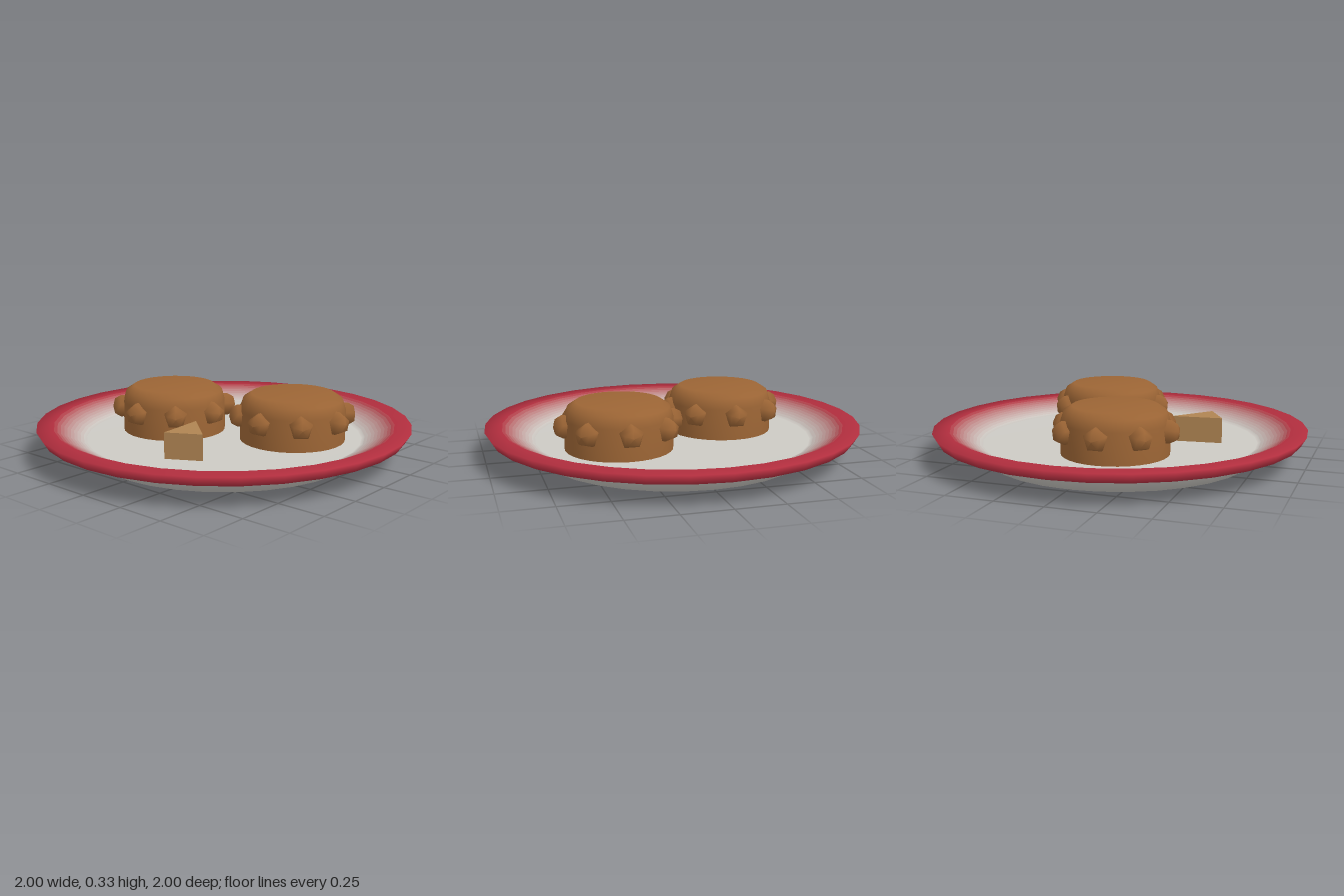
import * as THREE from 'three';

const mat = (color, extra = {}) => new THREE.MeshStandardMaterial({ color, ...extra });

function named(geometry, material, name) {
  const mesh = new THREE.Mesh(geometry, material);
  mesh.name = name;
  return mesh;
}

// Dish turned from one profile; its colour fades from pale centre to red rim in thin rings.
function createPlate() {
  const pale = new THREE.Color(0xcccac4), red = new THREE.Color(0xb12e3e);
  // radius, height, amount of red
  const profile = [
    [0, 0, 0], [0.72, 0, 0], [0.74, 0.055, 0], [0.97, 0.115, 1],
    [1, 0.165, 1], [0.91, 0.165, 1], [0.74, 0.085, 0], [0, 0.085, 0],
  ];
  const points = [], tints = [];
  for (let i = 0; i < profile.length - 1; i++) {
    const [r0, y0, t0] = profile[i], [r1, y1, t1] = profile[i + 1];
    const steps = t0 === t1 ? 1 : 10;
    for (let k = 0; k < steps; k++) {
      const f = k / steps;
      points.push(new THREE.Vector2(r0 + (r1 - r0) * f, y0 + (y1 - y0) * f));
      tints.push(t0 + (t1 - t0) * (k + 0.5) / steps);
    }
  }
  points.push(new THREE.Vector2(0, 0.085));

  const sides = 32;
  const whole = new THREE.LatheGeometry(points, sides);
  const index = whole.index.array;
  const rings = points.length - 1;
  const plate = new THREE.Group();
  plate.name = 'plate';
  // Each ring reuses the shared smooth normals, with its own tint
  for (let j = 0; j < rings; j++) {
    const picked = [];
    for (let s = 0; s < sides; s++) {
      const start = (s * rings + j) * 6;
      picked.push(...index.slice(start, start + 6));
    }
    const ring = whole.clone();
    ring.setIndex(picked);
    plate.add(named(ring.toNonIndexed(), mat(pale.clone().lerp(red, tints[j])), 'plateRing'));
  }
  return plate;
}

// Round biscuit with a softened top edge and eight five-sided knobs around it
function createBiscuit(x, z) {
  const brown = mat(0x9c6535);
  const v = (r, y) => new THREE.Vector2(r, y);
  const biscuit = new THREE.Group();
  biscuit.name = 'biscuit';
  biscuit.position.set(x, 0, z);

  const body = new THREE.LatheGeometry(
    [v(0, 0.085), v(0.28, 0.085), v(0.28, 0.085), v(0.28, 0.25), v(0.263, 0.305), v(0.22, 0.333), v(0, 0.333)], 32);
  biscuit.add(named(body, brown, 'biscuitBody'));

  // Knob profile runs outward from inside the body; one corner points up
  const knob = new THREE.LatheGeometry(
    [v(0.062, 0.24), v(0.062, 0.295), v(0.043, 0.328), v(0, 0.338)], 5, Math.PI);
  knob.rotateX(Math.PI / 2).translate(0, 0.213, 0);
  for (let i = 0; i < 8; i++) {
    const mesh = named(knob, brown, 'biscuitKnob');
    mesh.rotation.y = i * Math.PI / 4;
    biscuit.add(mesh);
  }
  return biscuit;
}

// Three-cornered crumb standing on the dish floor
function createWedge() {
  const shape = new THREE.Shape([[0.05, -0.28], [0.08, -0.545], [0.25, -0.45]]
    .map(([x, y]) => new THREE.Vector2(x, y)));
  const geometry = new THREE.ExtrudeGeometry(shape, { depth: 0.135, bevelEnabled: false });
  geometry.rotateX(-Math.PI / 2).translate(0, 0.085, 0);
  return named(geometry, mat(0xb08452, { flatShading: true }), 'wedge');
}

export function createModel() {
  const model = new THREE.Group();
  model.name = 'plateOfBiscuits';
  model.add(createPlate(), createBiscuit(-0.295, 0.08), createBiscuit(0.333, -0.17), createWedge());
  return model;
}
